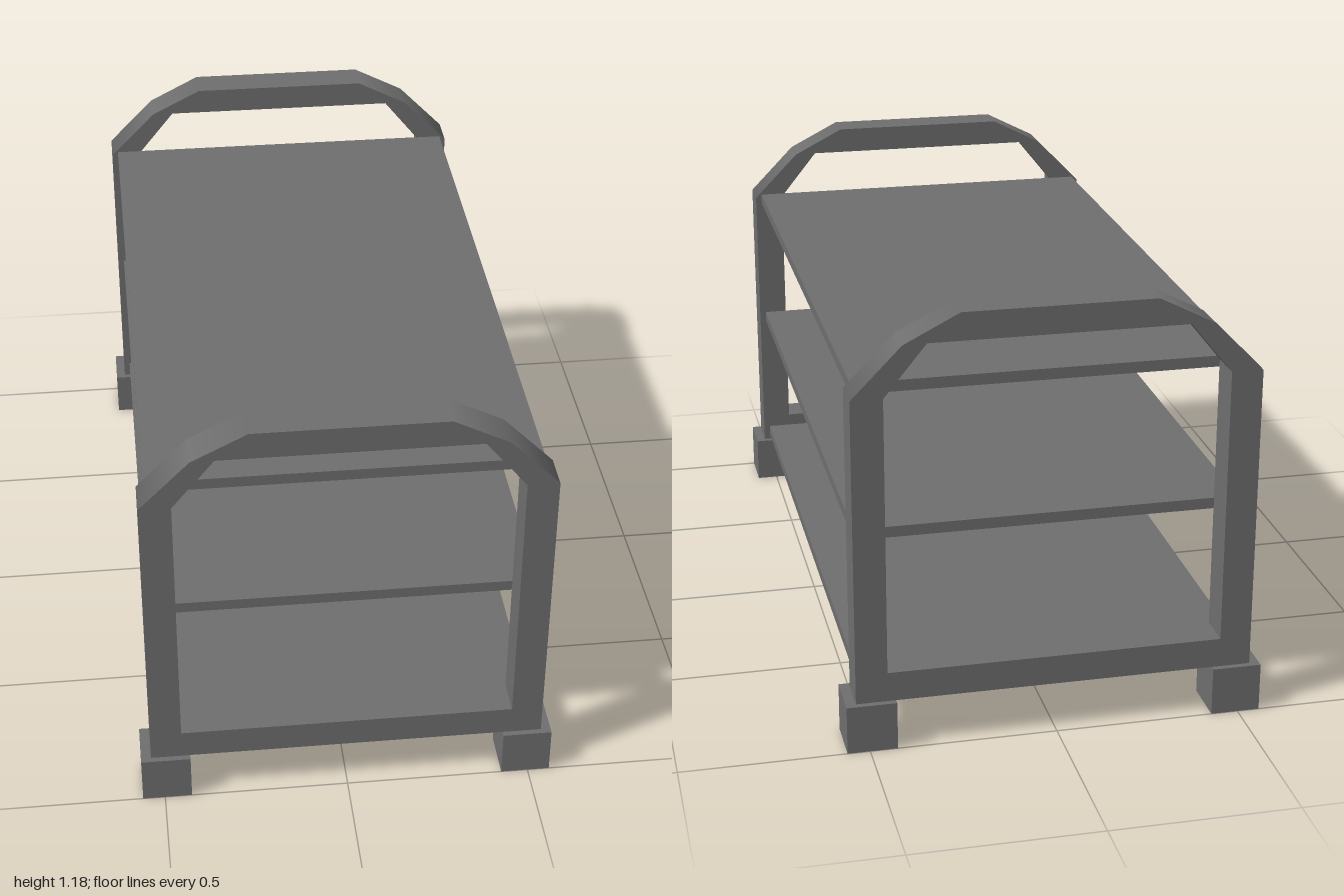
import * as THREE from 'three';

const material = new THREE.MeshStandardMaterial({ color: 0x6e6e6e });

// Points of the right half, in order upwards, mirrored into a closed outline
function mirrored(points) {
  const left = points.map(([x, y]) => [-x, y]).reverse();
  return [...points, ...left].map(([x, y]) => new THREE.Vector2(x, y));
}

// Shade the outer shoulders as a quarter ellipse running from post to top rail
function smoothShoulders(geometry) {
  const { position, normal } = geometry.attributes;
  const [cx, cy, rx, ry] = [0.253, 0.97, 0.28, 0.211];
  const n = new THREE.Vector3();
  for (let i = 0; i < position.count; i++) {
    const dx = Math.abs(position.getX(i)) - cx;
    const dy = position.getY(i) - cy;
    const isOuter = dy > -0.01 && (dx / rx) ** 2 + (dy / ry) ** 2 > 0.6;
    if (!isOuter || Math.abs(normal.getZ(i)) > 0.5) continue;
    n.set(Math.sign(position.getX(i)) * dx / rx ** 2, dy / ry ** 2, 0).normalize();
    normal.setXYZ(i, n.x, n.y, n.z);
  }
  return geometry;
}

function box(name, w, h, d, x, y, z) {
  const mesh = new THREE.Mesh(new THREE.BoxGeometry(w, h, d), material);
  mesh.name = name;
  mesh.position.set(x, y, z);
  return mesh;
}

export function createModel() {
  const model = new THREE.Group();
  model.name = 'shelfRack';

  // End frame: arched outline with one large opening
  const depth = 0.1;
  const outline = new THREE.Shape(mirrored([[0.533, 0.133], [0.533, 0.97], [0.4, 1.106], [0.253, 1.181]]));
  outline.holes.push(new THREE.Path(mirrored([[0.449, 0.214], [0.449, 0.97], [0.338, 1.107]])));
  const frameGeometry = smoothShoulders(
    new THREE.ExtrudeGeometry(outline, { depth, bevelEnabled: false }).translate(0, 0, -depth / 2)
  );

  for (const side of [1, -1]) {
    const end = side > 0 ? 'front' : 'back';
    const frame = new THREE.Mesh(frameGeometry, material);
    frame.name = end + 'Frame';
    frame.position.z = side * 0.934;
    model.add(frame);

    // Block feet under the frame corners
    for (const x of [1, -1]) {
      const name = end + (x > 0 ? 'Left' : 'Right') + 'Foot';
      model.add(box(name, 0.133, 0.133, 0.133, x * 0.4935, 0.0665, side * 0.9335));
    }
  }

  // Three shelves spanning between the frames
  [['lowerShelf', 0.163], ['middleShelf', 0.566], ['upperShelf', 0.965]].forEach(([name, y]) => {
    model.add(box(name, 1.03, 0.03, 1.77, 0, y, 0));
  });

  return model;
}
